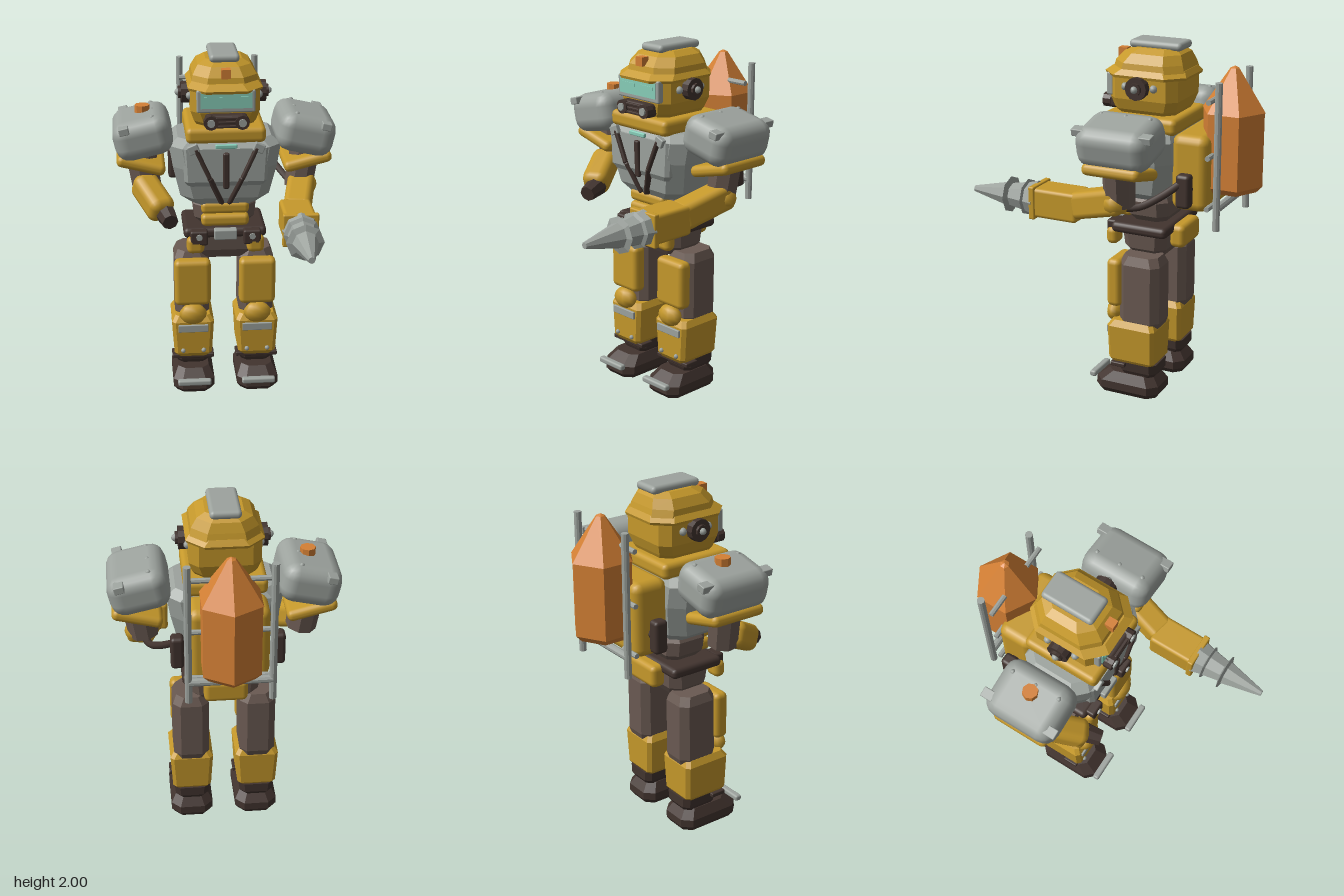
import * as THREE from 'three';
import { RoundedBoxGeometry } from 'three/addons/geometries/RoundedBoxGeometry.js';

const paint = (name, color) => { const m = new THREE.MeshStandardMaterial({ color }); m.name = name; return m; };
const V = (p) => new THREE.Vector3(...p);

// Flat-faced copy of a geometry
function facet(g) {
  const f = g.index ? g.toNonIndexed() : g;
  f.computeVertexNormals();
  return f;
}

// Stack of chamfered rectangles: each section is [y, halfWidth, zBack, zFront, chamfer]
function loft(sections) {
  const pos = [], idx = [];
  for (const [y, w, b, f, c] of sections) {
    const ring = [[w, f - c], [w, b + c], [w - c, b], [c - w, b], [-w, b + c], [-w, f - c], [c - w, f], [w - c, f]];
    for (const [x, z] of ring) pos.push(x, y, z);
  }
  const n = sections.length;
  for (let i = 0; i < n - 1; i++) for (let j = 0; j < 8; j++) {
    const a = i * 8 + j, b = i * 8 + (j + 1) % 8;
    idx.push(a, b, b + 8, a, b + 8, a + 8);
  }
  for (let j = 1; j < 7; j++) {
    const t = (n - 1) * 8;
    idx.push(t, t + j, t + j + 1, 0, j + 1, j);
  }
  const g = new THREE.BufferGeometry();
  g.setAttribute('position', new THREE.Float32BufferAttribute(pos, 3));
  g.setIndex(idx);
  return facet(g);
}

export function createModel() {
  const root = new THREE.Group();
  root.name = 'drillRobot';
  const yellow = paint('yellow armour', 0xc6992b), grey = paint('grey metal', 0x9da39e),
    brown = paint('brown joint', 0x6a5a52), dark = paint('dark rubber', 0x42342f),
    orange = paint('orange tank', 0xd48035), teal = paint('teal glass', 0x88cfba);

  const add = (name, geo, mat, p = [0, 0, 0]) => {
    const m = new THREE.Mesh(geo, mat);
    m.name = name;
    m.position.set(...p);
    root.add(m);
    return m;
  };
  const box = (name, mat, s, p, r = 0.02, rz = 0) => {
    const m = add(name, r ? new RoundedBoxGeometry(...s, 2, r) : new THREE.BoxGeometry(...s), mat, p);
    m.rotation.z = rz;
    return m;
  };
  const aim = (m, a, b) => { m.position.copy(V(a).lerp(V(b), 0.5)); m.lookAt(V(b)); return m; };
  const beam = (name, mat, a, b, w, h, r = 0.01) =>
    aim(add(name, new RoundedBoxGeometry(w, h, V(a).distanceTo(V(b)), 2, r), mat), a, b);
  const rod = (name, mat, a, b, r0, r1 = r0, sides = 10) =>
    aim(add(name, facet(new THREE.CylinderGeometry(r1, r0, V(a).distanceTo(V(b)), sides).rotateX(Math.PI / 2)), mat), a, b);
  const bolt = (p, r = 0.014) => add('bolt', new THREE.SphereGeometry(r, 8, 6), grey, p);

  // Head and helmet
  add('head', loft([[1.58, 0.13, -0.3, 0.0, 0.05], [1.64, 0.17, -0.33, 0.03, 0.05], [1.7, 0.19, -0.35, 0.045, 0.05], [1.83, 0.19, -0.35, 0.045, 0.05]]), yellow);
  add('helmetBrim', loft([[1.815, 0.2, -0.38, 0.085, 0.09], [1.83, 0.205, -0.385, 0.09, 0.09], [1.86, 0.18, -0.365, 0.05, 0.09]]), yellow);
  add('helmetDome', loft([[1.84, 0.185, -0.37, 0.045, 0.08], [1.89, 0.175, -0.355, 0.035, 0.08], [1.94, 0.145, -0.335, -0.01, 0.07], [1.965, 0.1, -0.3, -0.06, 0.05]]), yellow);
  box('helmetCrest', grey, [0.165, 0.045, 0.305], [0, 1.978, -0.185], 0.022);
  box('headLamp', orange, [0.05, 0.05, 0.05], [0, 1.915, 0.03], 0);
  box('visorFrame', grey, [0.32, 0.125, 0.04], [0, 1.768, 0.042], 0.01);
  box('visor', teal, [0.28, 0.085, 0.008], [0, 1.773, 0.063], 0);
  box('respirator', dark, [0.23, 0.075, 0.07], [0, 1.66, 0.055], 0.02);
  for (let i = 0; i < 3; i++) box('respiratorSlat', dark, [0.12, 0.014, 0.02], [0, 1.637 + i * 0.023, 0.09], 0.004);
  for (const s of [-1, 1]) {
    box('visorEye', teal, [0.1, 0.02, 0.008], [s * 0.07, 1.785, 0.067], 0);
    rod('filter', dark, [s * 0.085, 1.66, 0.06], [s * 0.085, 1.66, 0.105], 0.04);
    rod('filterCap', grey, [s * 0.085, 1.66, 0.1], [s * 0.085, 1.66, 0.115], 0.022);
    rod('earPad', dark, [s * 0.185, 1.77, -0.145], [s * 0.235, 1.77, -0.145], 0.062, 0.062, 12);
    rod('earHub', dark, [s * 0.235, 1.77, -0.145], [s * 0.25, 1.77, -0.145], 0.035);
    bolt([s * 0.25, 1.77, -0.145], 0.02);
    bolt([s * 0.19, 1.77, -0.23], 0.022);
    bolt([s * 0.19, 1.77, -0.065], 0.022);
  }

  // Torso
  add('chest', loft([[1.15, 0.18, -0.28, -0.01, 0.05], [1.2, 0.25, -0.32, 0.025, 0.07], [1.38, 0.29, -0.355, 0.055, 0.07], [1.5, 0.31, -0.355, 0.05, 0.07], [1.54, 0.26, -0.33, 0.01, 0.06]]), grey);
  add('chestPanel', loft([[1.28, 0.21, -0.1, 0.045, 0.02], [1.31, 0.23, -0.1, 0.063, 0.02], [1.5, 0.24, -0.1, 0.063, 0.02]]), grey);
  box('collar', yellow, [0.44, 0.09, 0.44], [0, 1.575, -0.15], 0.03);
  box('chestLight', teal, [0.12, 0.024, 0.02], [0, 1.515, 0.065], 0.006);
  beam('centreStrap', dark, [0, 1.48, 0.07], [0, 1.27, 0.06], 0.035, 0.025);
  for (const s of [-1, 1]) {
    beam('upperStrap', dark, [s * 0.17, 1.51, 0.068], [s * 0.09, 1.33, 0.066], 0.035, 0.025);
    beam('lowerStrap', dark, [s * 0.093, 1.337, 0.066], [s * 0.02, 1.165, 0.015], 0.035, 0.025);
    box('strapBuckle', grey, [0.06, 0.05, 0.03], [s * 0.18, 1.505, 0.068], 0.006, s * -0.4);
  }
  add('abdomen', loft([[1.0, 0.12, -0.26, -0.07, 0.04], [1.05, 0.17, -0.295, -0.04, 0.05], [1.13, 0.18, -0.295, -0.04, 0.05], [1.18, 0.15, -0.27, -0.06, 0.04]]), brown);
  for (const y of [1.055, 1.13]) box('bellyPlate', yellow, [0.27, 0.07, 0.08], [0, y, -0.035], 0.025);

  // Belt and pelvis
  add('pelvis', loft([[0.8, 0.13, -0.25, -0.08, 0.04], [0.86, 0.19, -0.29, -0.04, 0.05], [0.97, 0.2, -0.3, -0.03, 0.05], [1.0, 0.16, -0.28, -0.05, 0.05]]), brown);
  box('belt', dark, [0.47, 0.06, 0.33], [0, 0.98, -0.16], 0.025);
  box('beltBuckle', grey, [0.13, 0.06, 0.05], [0, 0.98, 0.01], 0.008);
  box('rearPouch', yellow, [0.24, 0.13, 0.09], [0, 0.935, -0.34], 0.03);
  for (const s of [-1, 1]) {
    box('beltPouch', dark, [0.1, 0.085, 0.06], [s * 0.15, 0.965, 0.015], 0.012);
    rod('beltKnob', grey, [s * 0.15, 0.975, 0.04], [s * 0.15, 0.975, 0.055], 0.018, 0.018, 8);
    box('hipPlate', yellow, [0.1, 0.1, 0.07], [s * 0.17, 0.92, 0.01], 0.03);
  }

  // Legs
  for (const s of [-1, 1]) {
    const x = s * 0.187;
    add('thigh', loft([[0.4, 0.09, -0.28, -0.07, 0.04], [0.46, 0.1, -0.3, -0.06, 0.04], [0.79, 0.1, -0.3, -0.06, 0.04], [0.84, 0.08, -0.28, -0.08, 0.04]]), brown, [x, 0, 0]);
    box('thighPlate', yellow, [0.21, 0.28, 0.085], [x, 0.67, -0.035], 0.03);
    add('knee', new THREE.SphereGeometry(1, 10, 8), yellow, [x, 0.475, -0.01]).scale.set(0.08, 0.063, 0.05);
    add('shin', loft([[0.185, 0.09, -0.26, -0.03, 0.02], [0.22, 0.11, -0.285, -0.005, 0.02], [0.42, 0.122, -0.29, -0.002, 0.02], [0.455, 0.1, -0.27, -0.025, 0.02]]), yellow, [x, 0, 0]);
    box('shinStrip', grey, [0.175, 0.045, 0.02], [x, 0.385, 0], 0.004);
    for (const d of [-1, 1]) bolt([x + d * 0.06, 0.24, -0.002]);
    box('ankleCuff', dark, [0.245, 0.025, 0.09], [x, 0.19, -0.07], 0.006);
    add('ankle', loft([[0.1, 0.07, -0.25, -0.08, 0.03], [0.15, 0.095, -0.285, -0.06, 0.03], [0.205, 0.1, -0.285, -0.05, 0.03]]), dark, [x, 0, 0]);
    add('foot', loft([[0, 0.1, -0.28, 0.06, 0.04], [0.03, 0.12, -0.3, 0.085, 0.05], [0.075, 0.12, -0.3, 0.08, 0.05], [0.13, 0.09, -0.26, 0.01, 0.04]]), dark, [x, 0, 0]);
    box('toeBar', grey, [0.195, 0.035, 0.04], [x, 0.085, 0.1], 0.012);
  }

  // Shoulders and upper arms
  for (const s of [-1, 1]) {
    const tilt = -s * 0.22;
    box('shoulder', grey, [0.325, 0.225, 0.415], [s * 0.452, 1.545, -0.167], 0.08, tilt);
    box('shoulderRim', yellow, [0.275, 0.065, 0.33], [s * 0.465, 1.385, -0.167], 0.03, s * 0.25);
    for (const z of [-0.36, 0.02]) box('shoulderTab', grey, [0.055, 0.04, 0.07], [s * 0.555, 1.605, z], 0.005, tilt);
    for (const z of [-0.31, -0.17, -0.03]) bolt([s * 0.4, 1.663, z]);
    rod('upperArm', brown, [s * 0.465, 1.43, -0.16], [s * 0.43, 1.2, -0.15], 0.09, 0.085, 8);
  }
  rod('shoulderBeacon', orange, [-0.45, 1.63, -0.17], [-0.45, 1.695, -0.17], 0.042, 0.042, 8);

  // Right forearm and fist
  beam('rightForearm', yellow, [-0.465, 1.265, -0.13], [-0.345, 1.14, 0.09], 0.15, 0.15, 0.05);
  rod('rightFist', dark, [-0.345, 1.145, 0.06], [-0.315, 1.12, 0.165], 0.06, 0.045, 8);

  // Left forearm with drill
  add('leftElbow', new THREE.SphereGeometry(0.065, 10, 8), yellow, [0.47, 1.21, -0.14]);
  beam('leftForearm', yellow, [0.455, 1.23, -0.18], [0.385, 1.14, 0.13], 0.15, 0.15, 0.035);
  box('drillMotor', yellow, [0.175, 0.165, 0.27], [0.375, 1.135, 0.235], 0.02);
  box('drillFlange', yellow, [0.195, 0.185, 0.035], [0.375, 1.135, 0.367], 0.008);
  const drill = [[0, 0.37], [0.102, 0.37], [0.085, 0.43], [0.103, 0.437], [0.083, 0.446], [0.066, 0.535], [0.103, 0.545], [0.07, 0.556], [0.018, 0.78], [0, 0.78]];
  add('drill', facet(new THREE.LatheGeometry(drill.map((p) => new THREE.Vector2(...p)), 8).rotateX(Math.PI / 2)), grey, [0.375, 1.135, 0]);

  // Backpack, tank and its rack
  box('backpack', yellow, [0.43, 0.42, 0.21], [0, 1.335, -0.445], 0.05);
  const tank = [[0, 1.22], [0.14, 1.22], [0.173, 1.255], [0.173, 1.66], [0.178, 1.66], [0.025, 1.885], [0, 1.897]];
  add('tank', facet(new THREE.LatheGeometry(tank.map((p) => new THREE.Vector2(...p)), 6)), orange, [0, 0, -0.612]);
  rod('rackCrossbar', grey, [-0.22, 1.17, -0.612], [0.22, 1.17, -0.612], 0.022);
  for (const s of [-1, 1]) {
    rod('rackPost', grey, [s * 0.22, 1.05, -0.612], [s * 0.22, 1.85, -0.612], 0.02);
    for (const y of [1.16, 1.44, 1.74]) rod('rackBracket', grey, [s * 0.1, y, -0.557], [s * 0.225, y, -0.557], 0.015, 0.015, 8);
    box('sideBattery', dark, [0.07, 0.185, 0.08], [s * 0.267, 1.262, -0.447], 0.02);
    rod('batteryMount', dark, [s * 0.2, 1.26, -0.447], [s * 0.25, 1.26, -0.447], 0.03, 0.03, 8);
  }
  const hose = new THREE.CatmullRomCurve3([[0.267, 1.32, -0.45], [0.34, 1.24, -0.35], [0.4, 1.185, -0.25], [0.43, 1.175, -0.16]].map(V));
  add('drillHose', new THREE.TubeGeometry(hose, 12, 0.02, 8), dark);

  return root;
}
